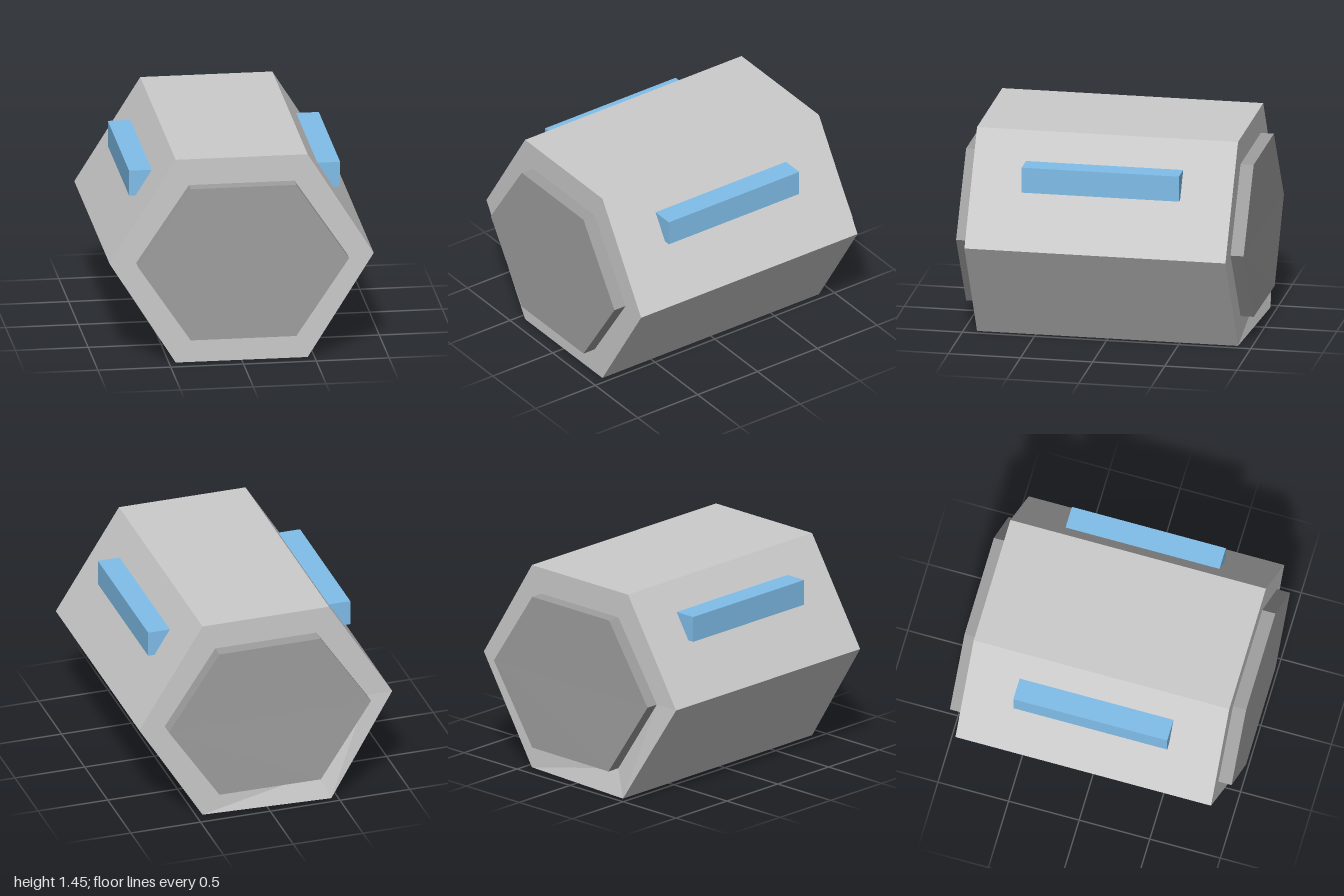
import * as THREE from 'three';

const MID = 0.727;

// Six-sided loop, counter-clockwise seen from the front, starting at +x.
// warp pushes the lower right corner further back.
function hexLoop(w, h, z, warp = 0) {
  const pts = [[w, 0], [w / 2, h], [-w / 2, h], [-w, 0], [-w / 2, -h], [w / 2, -h]];
  return pts.map(([x, y], i) => new THREE.Vector3(x, MID + y, i === 4 ? z - warp : z));
}

// Skin through loops ordered from front to back.
function loft(loops, capFront = false, capBack = false) {
  const verts = [];
  const tri = (...p) => p.forEach((v) => verts.push(v.x, v.y, v.z));
  for (let k = 0; k + 1 < loops.length; k++) {
    const a = loops[k], b = loops[k + 1];
    for (let i = 0; i < 6; i++) {
      const j = (i + 1) % 6;
      tri(a[i], b[i], a[j]);
      tri(a[j], b[i], b[j]);
    }
  }
  const first = loops[0], last = loops[loops.length - 1];
  for (let i = 1; i < 5; i++) {
    if (capFront) tri(first[0], first[i], first[i + 1]);
    if (capBack) tri(last[0], last[i + 1], last[i]);
  }
  const g = new THREE.BufferGeometry();
  g.setAttribute('position', new THREE.Float32BufferAttribute(verts, 3));
  g.computeVertexNormals();
  return g;
}

export function createModel() {
  const model = new THREE.Group();
  const grey = new THREE.MeshStandardMaterial({ color: 0xcccccc, flatShading: true });
  const darkGrey = new THREE.MeshStandardMaterial({ color: 0x9f9f9f, flatShading: true });
  const blue = new THREE.MeshStandardMaterial({ color: 0x80beea, flatShading: true });
  const add = (name, geometry, material) => {
    const mesh = new THREE.Mesh(geometry, material);
    mesh.name = name;
    model.add(mesh);
    return mesh;
  };

  // Hexagonal barrel with its end rims
  add('body', loft([
    hexLoop(0.725, 0.542, 0.907),
    hexLoop(0.907, 0.727, 0.907),
    hexLoop(0.907, 0.727, -0.903, 0.05),
    hexLoop(0.725, 0.542, -0.903),
  ]), grey);

  // Raised end plates
  add('frontPlate', loft([
    hexLoop(0.725, 0.542, 1), hexLoop(0.725, 0.542, 0.907),
  ], true, false), darkGrey);
  add('backPlate', loft([
    hexLoop(0.725, 0.542, -0.903), hexLoop(0.725, 0.542, -0.994, 0.006),
  ], false, true), darkGrey);

  // Side bars sunk into the upper slanted faces
  for (const [name, side] of [['leftBar', 1], ['rightBar', -1]]) {
    const bar = add(name, new THREE.BoxGeometry(0.225, 0.178, 1.09), blue);
    bar.position.set(side * 0.6125, 1.18, 0);
  }
  return model;
}
